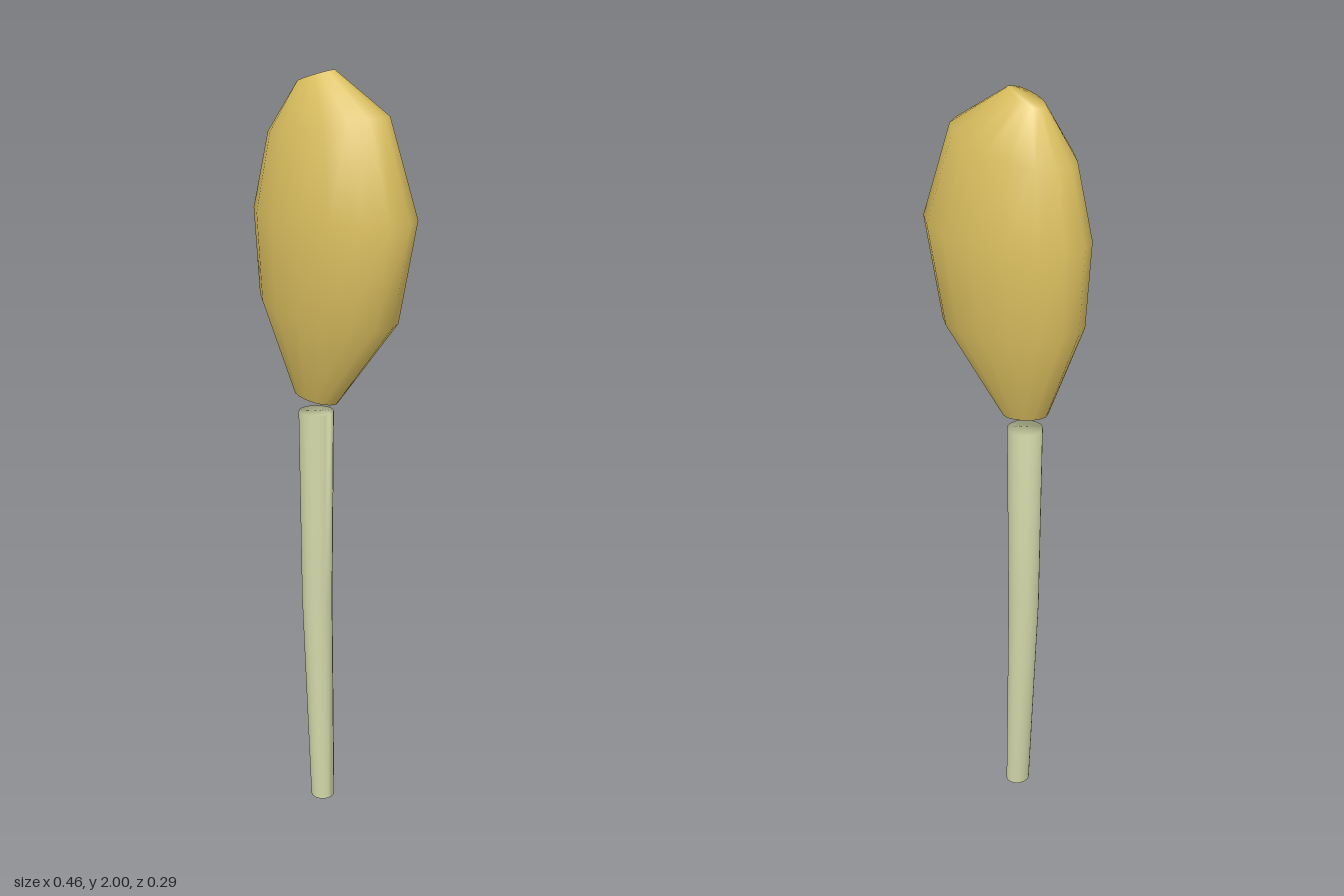
import * as THREE from 'three';

// Skin tilted elliptical rings [leftX, leftY, rightX, rightY, halfDepth], bottom to top, with end caps.
function loft(rings, sides) {
  const pos = [], idx = [];
  for (const [x0, y0, x1, y1, depth] of rings) {
    for (let j = 0; j < sides; j++) {
      const a = (j / sides) * Math.PI * 2;
      const t = (1 + Math.cos(a)) / 2;
      pos.push(x0 + (x1 - x0) * t, y0 + (y1 - y0) * t, depth * Math.sin(a));
    }
  }
  for (let i = 0; i < rings.length - 1; i++) {
    for (let j = 0; j < sides; j++) {
      const k = (j + 1) % sides;
      const a = i * sides + j, b = i * sides + k;
      idx.push(a, a + sides, b, b, a + sides, b + sides);
    }
  }
  // Flat fans close both ends
  const last = (rings.length - 1) * sides;
  for (let j = 1; j < sides - 1; j++) {
    idx.push(0, j, j + 1, last, last + j + 1, last + j);
  }
  const geo = new THREE.BufferGeometry();
  geo.setAttribute('position', new THREE.Float32BufferAttribute(pos, 3));
  geo.setIndex(idx);
  geo.computeVertexNormals();
  return geo;
}

export function createModel() {
  const group = new THREE.Group();
  const gold = new THREE.MeshStandardMaterial({ name: 'gold', color: 0xdcc060 });
  const paleGreen = new THREE.MeshStandardMaterial({ name: 'paleGreen', color: 0xd2d8a9 });

  // Bulbous flattened head
  const head = new THREE.Mesh(loft([
    [-0.125, 1.18, 0.005, 1.16, 0.042],
    [-0.22, 1.43, 0.18, 1.39, 0.125],
    [-0.233, 1.65, 0.232, 1.655, 0.144],
    [-0.19, 1.84, 0.15, 1.9, 0.108],
    [-0.11, 1.965, -0.005, 2.0, 0.035],
  ], 16), gold);
  head.name = 'head';

  // Slender stem, slightly bent and narrowing downwards
  const stem = new THREE.Mesh(loft([
    [-0.073, 0.003, -0.01, 0, 0.033],
    [-0.1, 0.6, -0.018, 0.6, 0.041],
    [-0.106, 1.13, -0.014, 1.13, 0.046],
  ], 16), paleGreen);
  stem.name = 'stem';

  group.add(head, stem);
  return group;
}
